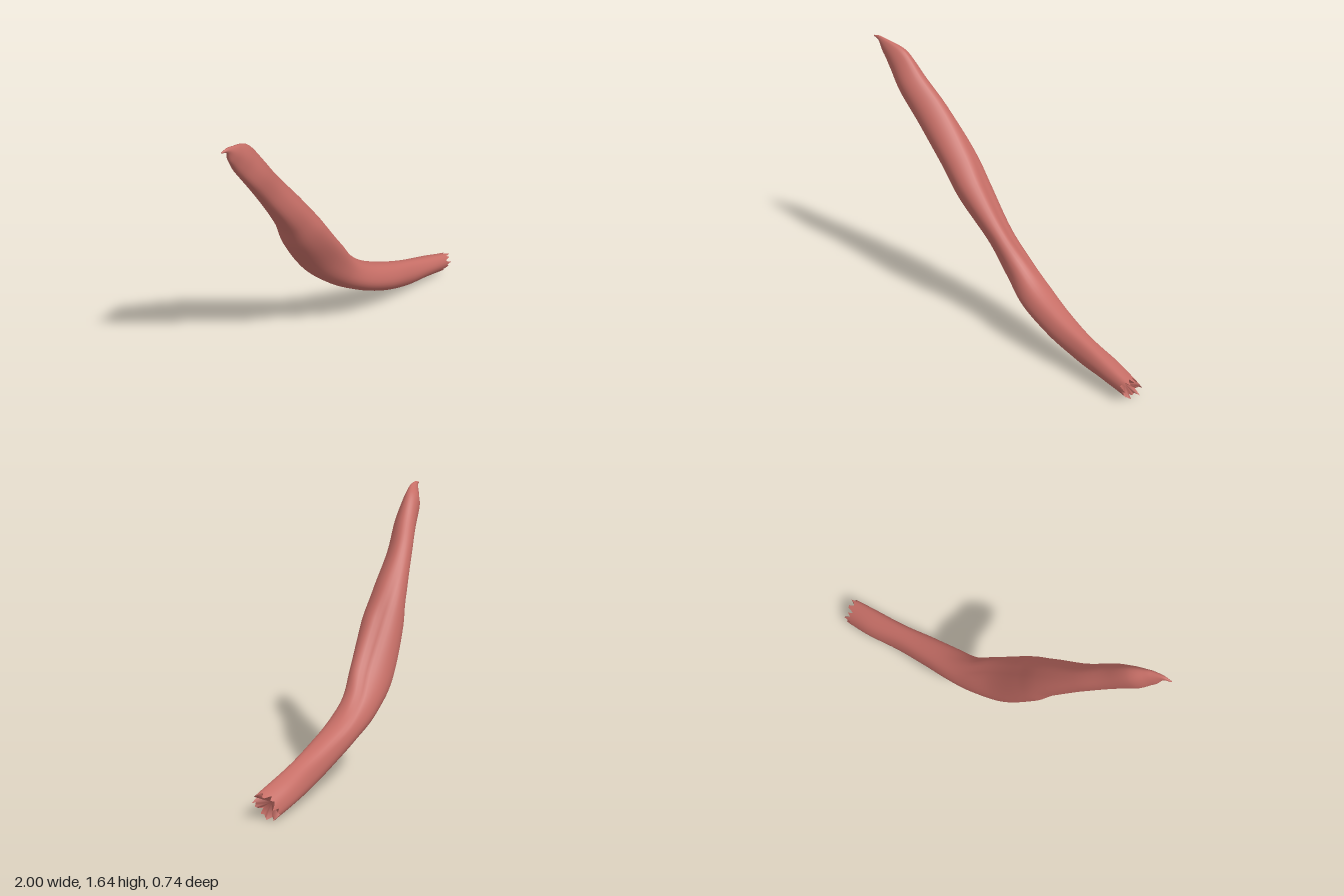
import * as THREE from 'three';

// Stations along the strap: x, y, z, half height, half depth, skew of the section
const STATIONS = [
  [-1.0, 1.636, 0.368, 0.003, 0.003, 0],
  [-0.955, 1.632, 0.352, 0.016, 0.012, 0],
  [-0.905, 1.59, 0.325, 0.052, 0.03, -0.2],
  [-0.835, 1.525, 0.282, 0.078, 0.058, -0.3],
  [-0.735, 1.4, 0.242, 0.082, 0.078, -0.3],
  [-0.61, 1.24, 0.173, 0.086, 0.09, -0.3],
  [-0.42, 0.995, 0.088, 0.102, 0.107, 0],
  [-0.32, 0.84, 0.045, 0.122, 0.11, 0.2],
  [-0.135, 0.59, -0.04, 0.125, 0.092, 0.45],
  [0.02, 0.43, -0.09, 0.105, 0.092, 0.2],
  [0.18, 0.325, -0.115, 0.09, 0.1, 0],
  [0.385, 0.232, -0.155, 0.09, 0.088, 0],
  [0.59, 0.163, -0.208, 0.09, 0.073, 0.1],
  [0.79, 0.118, -0.265, 0.078, 0.075, 0.25],
  [0.945, 0.082, -0.302, 0.072, 0.068, 0.4],
];
const RINGS = 84, SIDES = 32;

function meshFrom(points, index, material, name) {
  const g = new THREE.BufferGeometry().setFromPoints(points);
  g.setIndex(index);
  g.computeVertexNormals();
  const m = new THREE.Mesh(g, material);
  m.name = name;
  return m;
}

export function createModel() {
  const group = new THREE.Group();
  group.name = 'muscle';
  const red = new THREE.MeshStandardMaterial({ color: 0xc66e66 });
  red.name = 'muscle red';

  // Two curves over the same stations: centre line, and section sizes
  const last = STATIONS.length - 1;
  const path = new THREE.CatmullRomCurve3(
    STATIONS.map(s => new THREE.Vector3(s[0], s[1], s[2])), false, 'centripetal');
  const size = new THREE.CatmullRomCurve3(
    STATIONS.map(s => new THREE.Vector3(s[3], s[4], s[5])), false, 'catmullrom', 0.4);

  const points = [], index = [];
  let end, endDir;
  for (let i = 0; i <= RINGS; i++) {
    const u = i / RINGS;
    const c = path.getPoint(u), t = path.getTangent(u), s = size.getPoint(u);
    const n = new THREE.Vector3(-t.y, t.x, 0).normalize();
    const w = new THREE.Vector3().crossVectors(t, n);
    const crease = 0.17 * Math.exp(-(((u * last - 8) / 2) ** 2));
    for (let j = 0; j < SIDES; j++) {
      const a = (j / SIDES) * Math.PI * 2;
      // lengthwise crease behind the upper edge, and faint fibre ridges
      const r = 1 - crease * Math.exp(-(((Math.atan2(Math.sin(a + 0.6), Math.cos(a + 0.6))) / 0.28) ** 2))
        + 0.018 * Math.sin(5 * a + 7 * u);
      const p = c.clone()
        .addScaledVector(n, s.x * r * Math.cos(a))
        .addScaledVector(w, s.y * r * Math.sin(a + s.z));
      // torn fibres at the low end
      if (i === RINGS) p.addScaledVector(t, 0.022 * Math.sin(j * 2.4) + 0.015 * Math.sin(j * 1.1));
      points.push(p);
      if (i < RINGS) {
        const k = i * SIDES + j, m = i * SIDES + (j + 1) % SIDES;
        index.push(k, m, k + SIDES, m, m + SIDES, k + SIDES);
      }
    }
    end = c; endDir = t;
  }
  group.add(meshFrom(points, index, red, 'muscleBelly'));

  // Caps: hollow torn end, and the closed pointed tip
  const rim = points.slice(-SIDES), tip = points.slice(0, SIDES);
  const torn = [], point = [];
  for (let j = 0; j < SIDES; j++) {
    const k = (j + 1) % SIDES;
    torn.push(j, k, SIDES);
    point.push(k, j, SIDES);
  }
  group.add(meshFrom([...rim, end.clone().addScaledVector(endDir, -0.05)], torn, red, 'tornEnd'));
  group.add(meshFrom([...tip, path.getPoint(0)], point, red, 'pointedTip'));
  return group;
}
